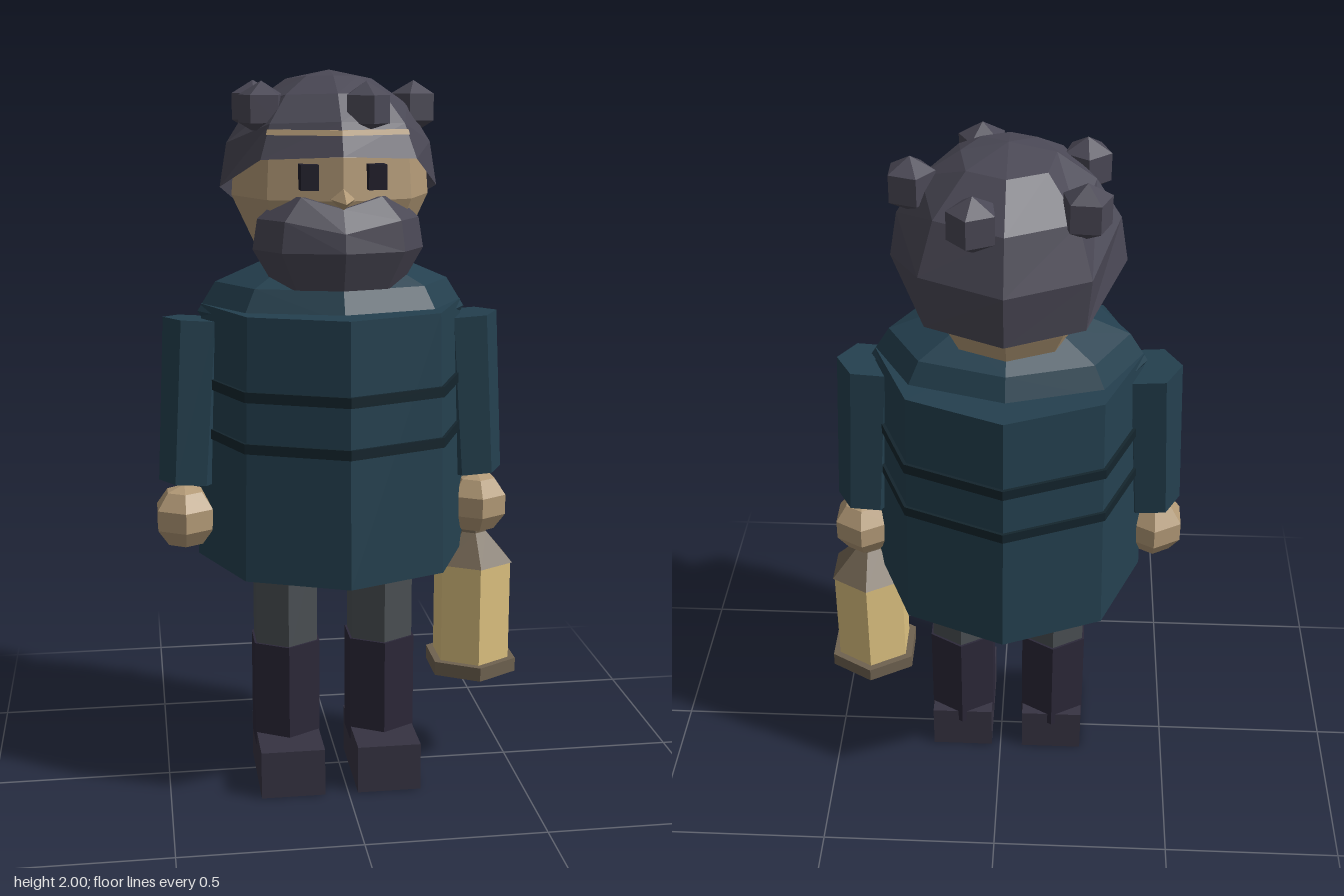
import * as THREE from 'three';

const mat = (color, side = THREE.FrontSide) =>
  new THREE.MeshStandardMaterial({ color, flatShading: true, side });

export function createModel() {
  const coat = mat(0x24404f), trim = mat(0x14252d), skin = mat(0xb39a77);
  const hairMat = mat(0x4a4855, THREE.DoubleSide), bootMat = mat(0x2c2839), shoeMat = mat(0x363342);
  const trouser = mat(0x4b5054), metal = mat(0x6f6250), glow = mat(0xdfc381), eyeMat = mat(0x1f1d2a);

  const model = new THREE.Group();
  const figure = new THREE.Group();
  figure.name = 'figure';
  figure.position.x = -0.02;
  model.add(figure);

  const add = (name, geo, material, x = 0, y = 0, z = 0, parent = figure) => {
    const m = new THREE.Mesh(geo, material);
    m.name = name;
    m.position.set(x, y, z);
    parent.add(m);
    return m;
  };
  // Upright prism or frustum between two heights
  const prism = (name, rTop, rBottom, y0, y1, sides, material, x = 0, z = 0, parent = figure) =>
    add(name, new THREE.CylinderGeometry(rTop, rBottom, y1 - y0, sides), material, x, (y0 + y1) / 2, z, parent);
  const lathe = (pts) => new THREE.LatheGeometry(pts.map(p => new THREE.Vector2(...p)), 8);

  // Coat, trim bands and sloping shoulders
  prism('coat', 0.36, 0.38, 0.67, 1.38, 8, coat);
  prism('upperBand', 0.375, 0.375, 1.157, 1.185, 8, trim);
  prism('lowerBand', 0.378, 0.378, 1.02, 1.047, 8, trim);
  add('shoulders', new THREE.SphereGeometry(1, 8, 6), coat, 0, 1.36, 0).scale.set(0.37, 0.16, 0.27);

  // Limbs, mirrored
  for (const s of [-1, 1]) {
    const side = s > 0 ? 'left' : 'right';
    const lean = s < 0 ? 0.025 : 0;

    prism(side + 'Trouser', 0.1, 0.1, 0.38, 0.72, 6, trouser, s * 0.137);
    prism(side + 'Boot', 0.107, 0.107, 0.1, 0.41, 6, bootMat, s * 0.137);
    add(side + 'Shoe', new THREE.BoxGeometry(0.18, 0.137, 0.3), shoeMat, s * 0.137, 0.0685, 0.05);

    const top = new THREE.Vector3(s * 0.373, 1.34, 0);
    const bottom = new THREE.Vector3(s * 0.402, 0.89, lean);
    const dir = top.clone().sub(bottom);
    const armGeo = new THREE.CylinderGeometry(0.092, 0.085, dir.length(), 6, 1, false, Math.PI / 2);
    const arm = add(side + 'Arm', armGeo, coat);
    arm.position.copy(top).add(bottom).multiplyScalar(0.5);
    arm.quaternion.setFromUnitVectors(new THREE.Vector3(0, 1, 0), dir.normalize());

    const hand = add(side + 'Hand', new THREE.SphereGeometry(0.092, 6, 5), skin, s * 0.418, 0.79, lean * 1.4);
    hand.rotation.y = Math.PI / 2;
  }

  // Lantern hanging from the left hand
  const lantern = new THREE.Group();
  lantern.name = 'lantern';
  lantern.position.x = 0.41;
  figure.add(lantern);
  prism('lanternBase', 0.137, 0.137, 0.29, 0.33, 6, metal, 0, 0, lantern);
  prism('lanternGlass', 0.115, 0.115, 0.33, 0.625, 6, glow, 0, 0, lantern);
  prism('lanternRoof', 0.04, 0.12, 0.62, 0.705, 6, metal, 0, 0, lantern);
  prism('lanternHandle', 0.035, 0.04, 0.7, 0.74, 6, metal, 0, 0, lantern);

  // Head and neck
  const headGeo = lathe([[0, 1.42], [0.15, 1.42], [0.2, 1.52], [0.27, 1.67], [0.262, 1.78], [0.16, 1.88], [0, 1.9]]);
  add('head', headGeo, skin, 0, 0, -0.03).scale.z = 0.96;
  for (const s of [-1, 1])
    add(s > 0 ? 'leftEye' : 'rightEye', new THREE.BoxGeometry(0.047, 0.065, 0.07), eyeMat, s * 0.088, 1.732, 0.205);

  // Nose: a small four-sided point facing forward
  const nose = add('nose', new THREE.ConeGeometry(0.042, 0.09, 4), skin, 0, 1.672, 0.24);
  nose.rotation.x = Math.PI / 2 + 0.12;

  // Beard, dipping under the nose
  const beardGeo = lathe([[0, 1.44], [0.17, 1.44], [0.228, 1.54], [0.215, 1.62], [0.15, 1.68], [0, 1.67]]);
  const bp = beardGeo.attributes.position;
  for (let i = 0; i < bp.count; i++)
    if (bp.getY(i) > 1.6 && bp.getZ(i) > 0.05 && Math.abs(bp.getX(i)) < 0.02) bp.setY(i, bp.getY(i) - 0.03);
  add('beard', beardGeo, hairMat, 0, 0, 0.13).scale.z = 0.65;

  // Hair cap: a dome whose rim drops from brow to nape
  const rim = [74, 76, 92, 110, 112];
  const hairGeo = new THREE.CylinderGeometry(1, 1, 1, 8, 4, true);
  const hp = hairGeo.attributes.position;
  for (let i = 0; i < hp.count; i++) {
    const x = hp.getX(i), z = hp.getZ(i);
    const step = Math.round(Math.abs(Math.atan2(x, z)) / (Math.PI / 4));
    const t = (0.5 - hp.getY(i)) * THREE.MathUtils.degToRad(rim[step]);
    hp.setXYZ(i, x * Math.sin(t) * 0.3, Math.cos(t) * 0.3, z * Math.sin(t) * 0.3);
  }
  hairGeo.computeVertexNormals();
  add('hair', hairGeo, hairMat, 0, 1.7, -0.06);

  // Thin strip of forehead showing through the fringe
  const stripGeo = new THREE.CylinderGeometry(0.263, 0.268, 0.014, 2, 1, false, -Math.PI / 4, Math.PI / 2);
  add('foreheadStrip', stripGeo, skin, 0, 1.842, -0.06);

  // Five curls in a ring around the crown
  for (let i = 0; i < 5; i++) {
    const a = (i * Math.PI * 2) / 5;
    const curl = add('curl', new THREE.SphereGeometry(0.072, 5, 3), hairMat,
      Math.cos(a) * 0.238, 1.9, -0.09 + Math.sin(a) * 0.228);
    curl.rotation.y = i * 0.5;
  }

  return model;
}
